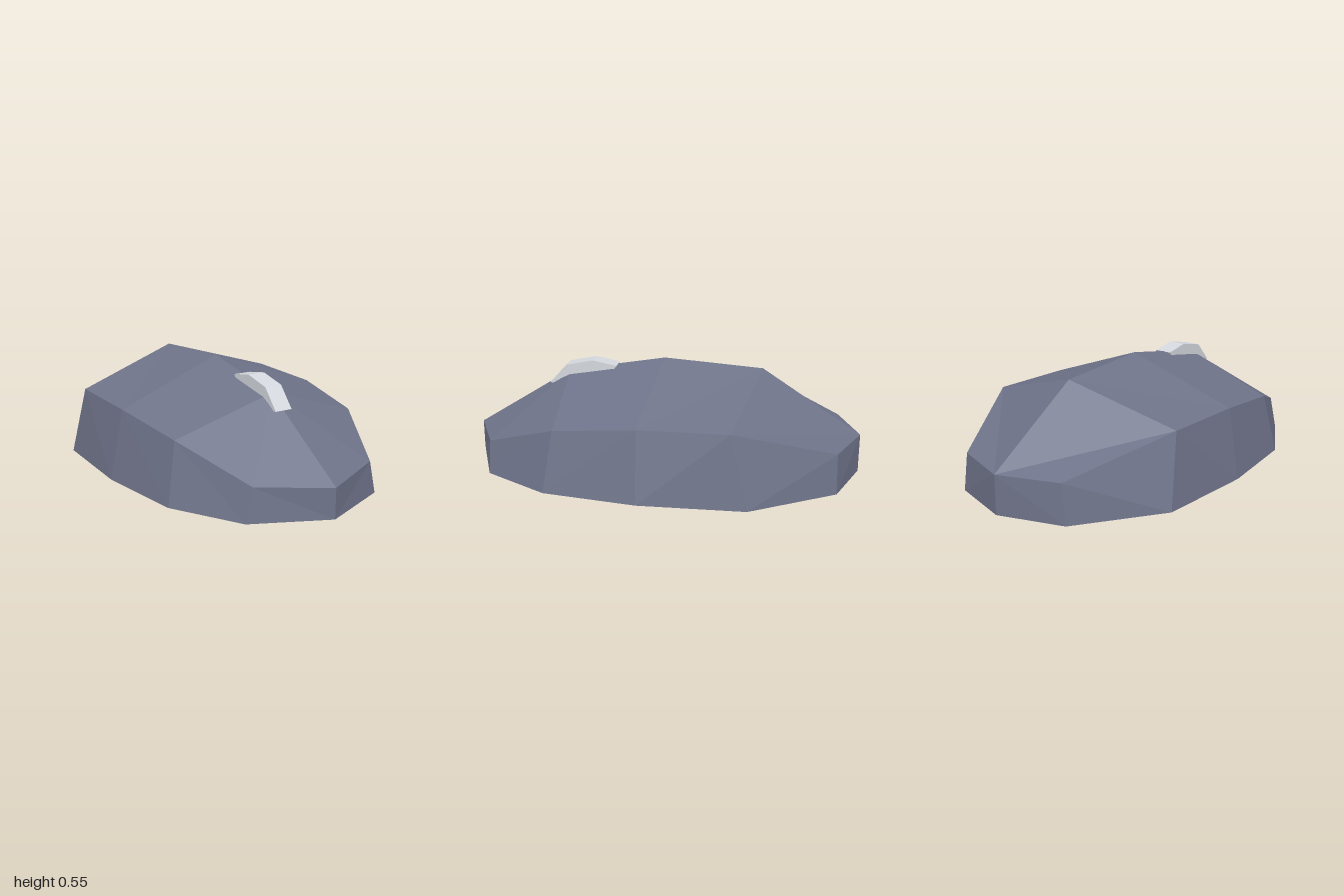
import * as THREE from 'three';

const bodyPaint = new THREE.MeshStandardMaterial({ color: 0x6e7389, flatShading: true });
bodyPaint.name = 'slate shell';
const wheelPaint = new THREE.MeshStandardMaterial({ color: 0xd4d8de, flatShading: true });
wheelPaint.name = 'pale grey wheel';

// Half-outline from nose to tail: foot, shoulder edge and centre ridge
const nose = [0, 0.148, 1], tail = [0, 0.195, -1];
const sections = [
  { foot: [0, 0, 1], rim: nose, ridge: nose },
  { foot: [0.365, 0, 0.84], rim: [0.328, 0.163, 0.84], ridge: nose },
  { foot: [0.56, 0, 0.5], rim: [0.502, 0.3, 0.46], ridge: [0, 0.462, 0.5] },
  { foot: [0.622, 0, 0.03], rim: [0.556, 0.35, 0.04], ridge: [0, 0.55, 0] },
  { foot: [0.6, 0, -0.49], rim: [0.556, 0.355, -0.4], ridge: [0, 0.518, -0.5] },
  { foot: [0.325, 0, -0.895], rim: [0.3, 0.195, -0.89], ridge: tail },
  { foot: [0, 0, -1], rim: tail, ridge: tail },
];

function shellGeometry() {
  const positions = [];
  const mirror = ([x, y, z]) => [-x, y, z];
  // Adds a triangle and its mirror image, skipping collapsed ones
  const tri = (a, b, c) => {
    if (a === b || b === c || a === c) return;
    positions.push(...a, ...b, ...c, ...mirror(a), ...mirror(c), ...mirror(b));
  };
  const quad = (a, b, c, d) => { tri(a, b, c); tri(a, c, d); };
  const centre = [0, 0, 0];
  for (let i = 0; i < sections.length - 1; i++) {
    const p = sections[i], q = sections[i + 1];
    quad(p.foot, q.foot, q.rim, p.rim);     // side wall
    quad(p.rim, q.rim, q.ridge, p.ridge);   // top panel
    tri(centre, q.foot, p.foot);            // underside
  }
  const geometry = new THREE.BufferGeometry();
  geometry.setAttribute('position', new THREE.Float32BufferAttribute(positions, 3));
  geometry.computeVertexNormals();
  return geometry;
}

// Faceted wheel profile (z, y), extruded across x; its lower part is inside the shell
function wheelGeometry() {
  const profile = [[0.6, 0.4], [0.512, 0.498], [0.37, 0.528], [0.245, 0.505], [0.3, 0.43], [0.45, 0.37]];
  const shape = new THREE.Shape(profile.map(([z, y]) => new THREE.Vector2(-z, y)));
  const geometry = new THREE.ExtrudeGeometry(shape, { depth: 0.09, bevelEnabled: false });
  return geometry.translate(0, 0, -0.045).rotateY(Math.PI / 2);
}

export function createModel() {
  const group = new THREE.Group();
  group.name = 'computerMouse';
  const shell = new THREE.Mesh(shellGeometry(), bodyPaint);
  shell.name = 'shell';
  const wheel = new THREE.Mesh(wheelGeometry(), wheelPaint);
  wheel.name = 'scrollWheel';
  group.add(shell, wheel);
  return group;
}
